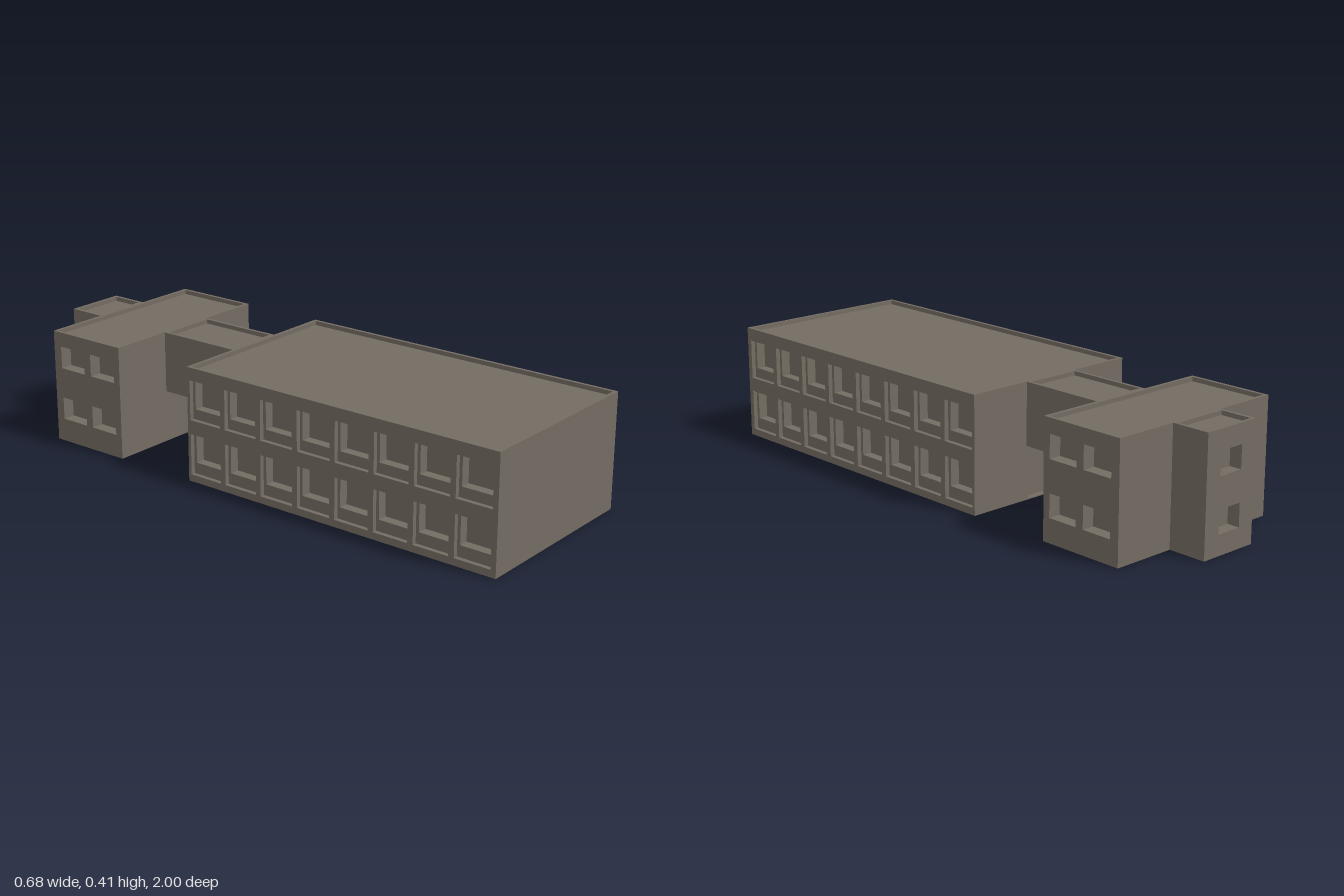
import * as THREE from 'three';

const H = 0.405;       // parapet top
const ROOF = 0.39;     // roof deck
const RIM = 0.012;     // parapet thickness

const rectPath = (Type, u0, u1, v0, v1) => {
  const p = new Type();
  p.moveTo(u0, v0);
  p.lineTo(u1, v0);
  p.lineTo(u1, v1);
  p.lineTo(u0, v1);
  p.closePath();
  return p;
};

// Slab in the local xy plane with rectangular openings, thickened along +z
function slab(rect, openings, depth) {
  const shape = rectPath(THREE.Shape, ...rect);
  for (const o of openings) shape.holes.push(rectPath(THREE.Path, ...o));
  return new THREE.ExtrudeGeometry(shape, { depth, bevelEnabled: false });
}

export function createModel() {
  const model = new THREE.Group();
  model.name = 'building';
  const concrete = new THREE.MeshStandardMaterial({ color: 0x736c62 });
  concrete.name = 'concrete';

  const add = (parent, name, geometry) => {
    const mesh = new THREE.Mesh(geometry, concrete);
    mesh.name = name;
    parent.add(mesh);
    return mesh;
  };
  const box = (parent, name, x, y0, y1, z0, z1) =>
    add(parent, name, new THREE.BoxGeometry(2 * x, y1 - y0, z1 - z0))
      .position.set(0, (y0 + y1) / 2, (z0 + z1) / 2);

  // Thin raised rim around a flat roof
  const parapet = (parent, x, z0, z1) => {
    const g = slab([-x, x, z0, z1], [[-x + RIM, x - RIM, z0 + RIM, z1 - RIM]], H - ROOF);
    g.rotateX(Math.PI / 2); // shape y becomes z, thickness goes down
    add(parent, 'parapet', g).position.y = H;
  };

  // Wall facing +x (side 1) or -x (side -1), openings given as [z0, z1, y0, y1]
  const sideWall = (parent, name, side, xInner, depth, z0, z1, openings) => {
    const toLocal = ([a, b, c, d]) => (side > 0 ? [-b, -a, c, d] : [a, b, c, d]);
    const g = slab(toLocal([z0, z1, 0, ROOF]), openings.map(toLocal), depth);
    g.rotateY(side * Math.PI / 2);
    add(parent, name, g).position.x = side * xInner;
  };

  // Wall facing -z, openings given as [x0, x1, y0, y1]
  const backWall = (parent, name, x, zInner, depth, openings) => {
    const g = slab([-x, x, 0, ROOF], openings.map(([a, b, c, d]) => [-b, -a, c, d]), depth);
    g.rotateY(Math.PI);
    add(parent, name, g).position.z = zInner;
  };

  const block = (name) => {
    const g = new THREE.Group();
    g.name = name;
    model.add(g);
    return g;
  };

  // Main hall: two storeys of eight stepped window bays on each long side
  const main = block('mainHall');
  box(main, 'hallCore', 0.29, 0, ROOF, -0.21, 1);
  parapet(main, 0.34, -0.23, 1);
  const bays = [], panes = [];
  for (let i = 0; i < 8; i++) {
    const z = 0.915 - i * 0.1525;
    for (const [b0, b1, p0, p1] of [[0.025, 0.17, 0.065, 0.162], [0.22, 0.36, 0.256, 0.354]]) {
      bays.push([z - 0.066, z + 0.066, b0, b1]);
      panes.push([z - 0.055, z + 0.055, p0, p1]);
    }
  }
  for (const side of [1, -1]) {
    sideWall(main, 'windowWall', side, 0.29, 0.034, -0.23, 1, panes);
    sideWall(main, 'bayWall', side, 0.324, 0.016, -0.23, 1, bays);
  }
  // Double door beneath the bridge
  backWall(main, 'doorWall', 0.29, -0.21, 0.02,
    [[-0.1, -0.004, 0.004, 0.165], [0.004, 0.1, 0.004, 0.165]]);

  // Raised bridge between the hall and the rear wing
  const bridge = block('bridge');
  box(bridge, 'bridgeBody', 0.11, 0.187, ROOF, -0.545, -0.23);
  parapet(bridge, 0.11, -0.545, -0.23);

  // Rear wing: four recessed windows on each end
  const wing = block('rearWing');
  box(wing, 'wingCore', 0.295, 0, ROOF, -0.862, -0.545);
  parapet(wing, 0.34, -0.862, -0.545);
  const wingWindows = [];
  for (const z of [-0.628, -0.772])
    for (const y of [0.083, 0.273]) wingWindows.push([z - 0.057, z + 0.057, y, y + 0.08]);
  for (const side of [1, -1])
    sideWall(wing, 'wingWall', side, 0.295, 0.045, -0.862, -0.545, wingWindows);

  // Stair tower with two windows at the back
  const tower = block('stairTower');
  box(tower, 'towerCore', 0.11, 0, ROOF, -0.955, -0.862);
  parapet(tower, 0.11, -1, -0.862);
  backWall(tower, 'towerWall', 0.11, -0.955, 0.045,
    [[-0.048, 0.048, 0.07, 0.15], [-0.048, 0.048, 0.256, 0.336]]);

  return model;
}
